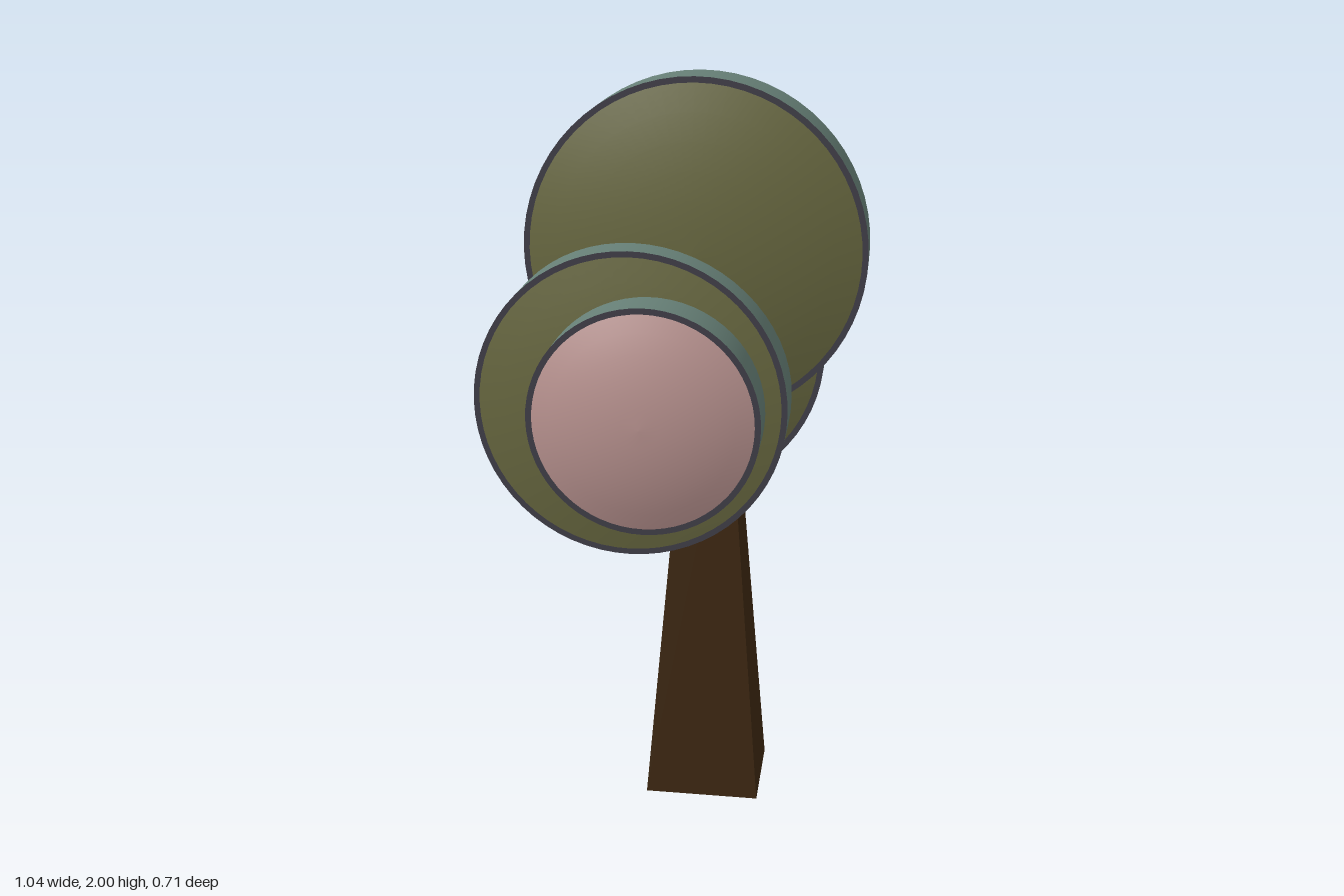
import * as THREE from 'three';

const mat = (name, color) => {
  const m = new THREE.MeshStandardMaterial({ color });
  m.name = name;
  return m;
};

export function createModel() {
  const olive = mat('olive leaf', 0x6b6b42);
  const teal = mat('grey teal edge', 0x667f76);
  const pink = mat('dusty pink', 0xbe9794);
  const dark = mat('dark rim', 0x42404a);
  const bark = mat('dark bark', 0x3e2812);

  const tree = new THREE.Group();
  tree.name = 'tree';

  const add = (parent, name, geometry, material) => {
    const mesh = new THREE.Mesh(geometry, material);
    mesh.name = name;
    parent.add(mesh);
    return mesh;
  };

  // Shallow spherical cap bulging along +z
  const capGeometry = (r, h) => {
    const R = (r * r + h * h) / (2 * h);
    const a = Math.asin(r / R);
    const profile = [];
    for (let i = 0; i <= 6; i++) {
      const t = a * (1 - i / 6);
      profile.push(new THREE.Vector2(R * Math.sin(t), R * Math.cos(t) - R + h));
    }
    return new THREE.LatheGeometry(profile, 64).rotateX(Math.PI / 2);
  };

  // Foliage disc: a straight edge band, thin flat rims and bulging faces
  const disc = ({ name, x, y, r, back, front, bulge, face, backFace = true }) => {
    const g = new THREE.Group();
    g.name = name;
    g.position.set(x, y, (back + front) / 2);
    const depth = front - back;
    const inner = r - 0.016;
    add(g, 'edgeBand',
      new THREE.CylinderGeometry(r, r, depth, 64, 1, true).rotateX(Math.PI / 2), teal);
    for (const side of backFace ? [1, -1] : [1]) {
      const turn = side > 0 ? 0 : Math.PI;
      const rim = add(g, 'rim', new THREE.RingGeometry(inner, r, 64), dark);
      const cap = add(g, 'face', capGeometry(inner, bulge), face);
      for (const m of [rim, cap]) {
        m.position.z = side * depth / 2;
        m.rotation.y = turn;
      }
    }
    tree.add(g);
  };

  disc({ name: 'topFoliage', x: 0.055, y: 1.54, r: 0.462, back: -0.145, front: 0.01, bulge: 0.064, face: olive });
  disc({ name: 'backFoliage', x: -0.02, y: 1.23, r: 0.424, back: -0.29, front: -0.135, bulge: 0.066, face: olive });
  disc({ name: 'frontFoliage', x: -0.098, y: 1.152, r: 0.423, back: 0.012, front: 0.166, bulge: 0.04, face: olive });
  disc({ name: 'pinkFoliage', x: -0.041, y: 1.152, r: 0.308, back: 0.15, front: 0.3, bulge: 0.055, face: pink, backFace: false });

  // Tapered rectangular trunk
  const height = 1.2;
  const trunkGeometry = new THREE.BoxGeometry(0.316, height, 0.275);
  const p = trunkGeometry.attributes.position;
  for (let i = 0; i < p.count; i++) {
    if (p.getY(i) > 0) p.setXYZ(i, p.getX(i) * 0.37, p.getY(i), p.getZ(i) * 0.45);
  }
  const flat = trunkGeometry.toNonIndexed();
  flat.computeVertexNormals();
  add(tree, 'trunk', flat, bark).position.set(0.106, height / 2, 0.048);

  return tree;
}
